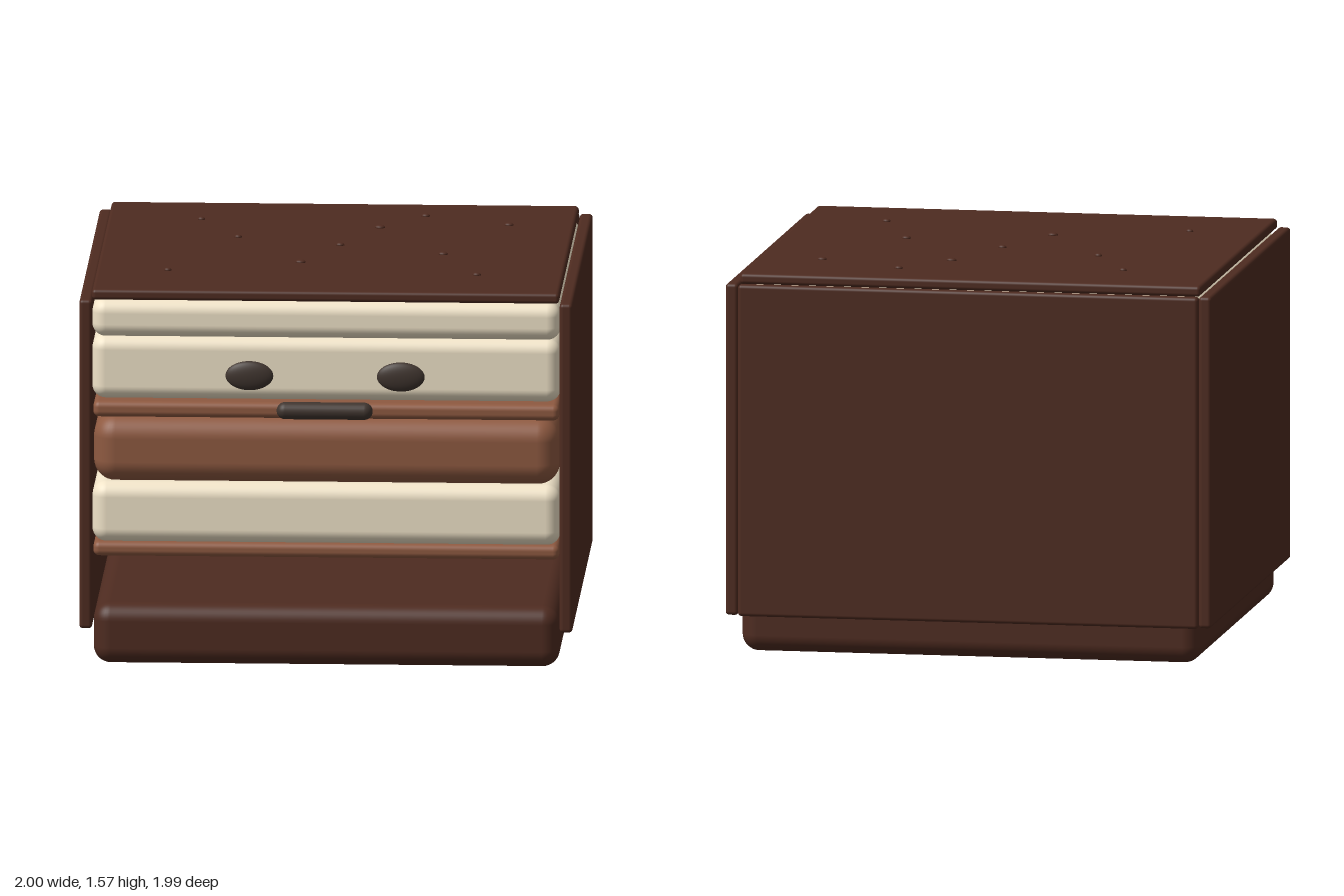
import * as THREE from 'three';
import { RoundedBoxGeometry } from 'three/addons/geometries/RoundedBoxGeometry.js';

export function createModel() {
  const group = new THREE.Group();
  const paint = (color) => new THREE.MeshStandardMaterial({ color });
  const chocolate = paint(0x4e2b20);
  const sponge = paint(0x8f5a41);
  const cream = paint(0xf1e4c9);
  const dark = paint(0x40352f);

  const add = (name, geometry, material, x, y, z) => {
    const mesh = new THREE.Mesh(geometry, material);
    mesh.name = name;
    mesh.position.set(x, y, z);
    group.add(mesh);
    return mesh;
  };

  // Rounded slab given by its extents on each axis
  const slab = (name, material, [x0, x1], [y0, y1], [z0, z1], radius) =>
    add(name, new RoundedBoxGeometry(x1 - x0, y1 - y0, z1 - z0, 5, radius), material,
      (x0 + x1) / 2, (y0 + y1) / 2, (z0 + z1) / 2);

  // Base and stacked filling; an open gap remains above the base
  const width = [-0.945, 0.945];
  const depth = [-0.94, 0.835];
  slab('base', chocolate, width, [0, 0.25], depth, 0.07);
  slab('lowerWafer', sponge, width, [0.45, 0.51], depth, 0.025);
  slab('lowerCream', cream, [-0.95, 0.95], [0.505, 0.755], [-0.945, 0.845], 0.06);
  slab('spongeLayer', sponge, width, [0.75, 1.025], depth, 0.09);
  slab('upperWafer', sponge, width, [1.025, 1.09], depth, 0.025);
  slab('upperCream', cream, [-0.95, 0.95], [1.1, 1.36], [-0.945, 0.845], 0.055);
  slab('topCream', cream, [-0.95, 0.95], [1.355, 1.51], [-0.945, 0.845], 0.055);

  // Chocolate shell: lid, back and two sides
  slab('lid', chocolate, [-0.95, 0.945], [1.51, 1.553], depth, 0.015);
  slab('backPanel', chocolate, [-0.95, 0.945], [0.155, 1.515], [-0.995, -0.948], 0.015);
  slab('leftPanel', chocolate, [0.948, 1], [0.155, 1.515], [-0.97, 0.86], 0.015);
  slab('rightPanel', chocolate, [-1, -0.948], [0.155, 1.515], [-0.97, 0.86], 0.015);

  // Face floating just in front of the layers
  for (const [name, side] of [['leftEye', 1], ['rightEye', -1]]) {
    add(name, new THREE.SphereGeometry(1, 32, 20), dark, side * 0.307, 1.22, 0.916)
      .scale.set(0.097, 0.06, 0.026);
  }
  add('mouth', new THREE.CapsuleGeometry(0.035, 0.32, 10, 24), dark, 0, 1.085, 0.955)
    .rotation.z = Math.PI / 2;

  // Crumbs scattered on the lid
  const crumbs = [
    [-0.57, -0.59], [0.335, -0.695], [0.68, -0.53], [0.16, -0.46], [-0.405, -0.24],
    [0.015, -0.1], [0.44, 0.065], [-0.13, 0.25], [-0.66, 0.435], [0.595, 0.475],
  ];
  const crumbGeometry = new THREE.SphereGeometry(1, 14, 10);
  crumbs.forEach(([x, z], i) => {
    const r = 0.015 + 0.002 * (i % 4);
    add('crumb', crumbGeometry, chocolate, x, 1.555, z).scale.set(r, 0.01, r * 0.8);
  });

  return group;
}
